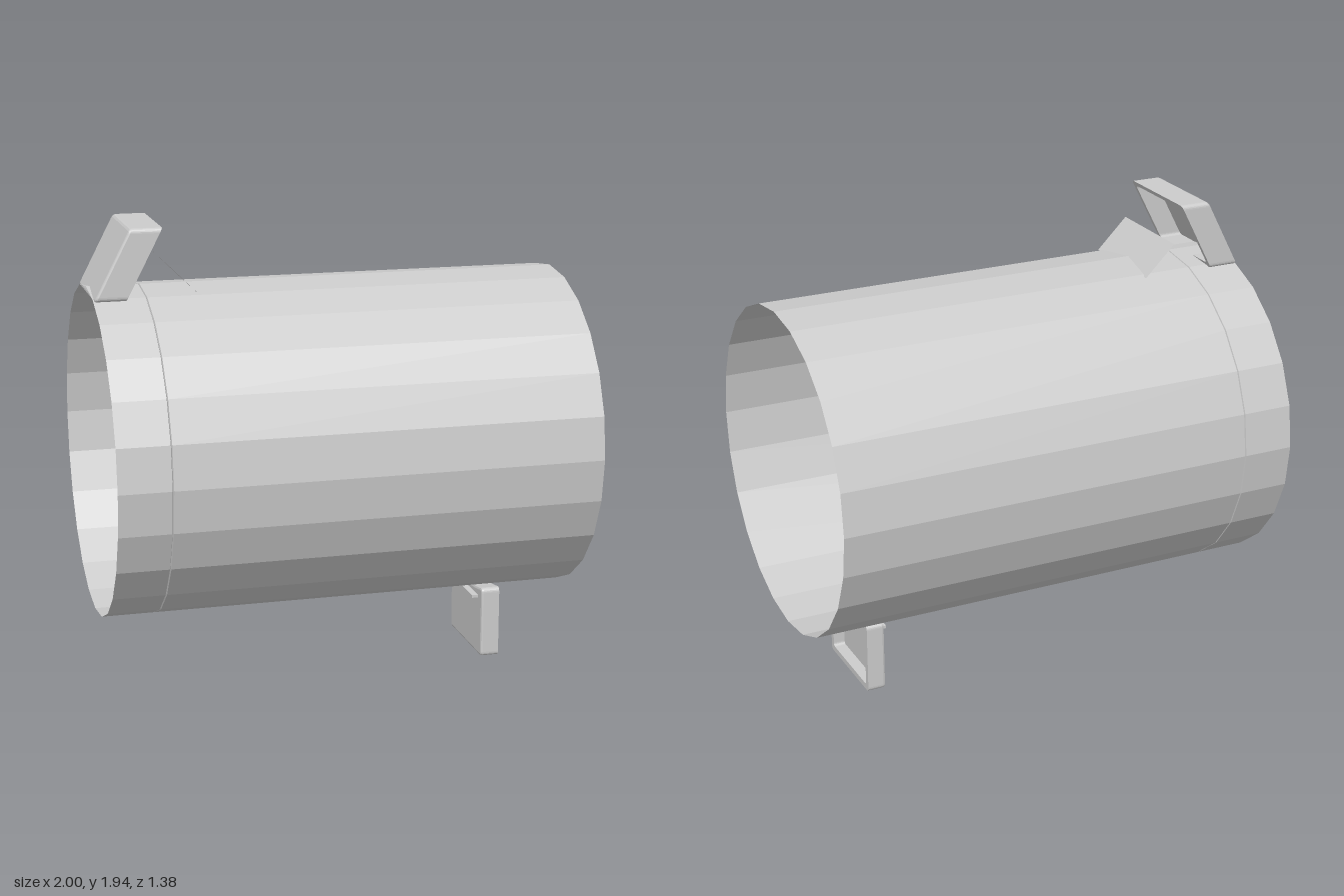
import * as THREE from 'three';

const AXIS_Y = 0.99, R = 0.69, SIDES = 24;

const flat = new THREE.MeshStandardMaterial({ color: 0xcccccc, flatShading: true, side: THREE.DoubleSide });
const smooth = new THREE.MeshStandardMaterial({ color: 0xcccccc, side: THREE.DoubleSide });

// Surface of revolution about the horizontal axis, from [x, radius] pairs
function revolve(name, profile, material) {
  const geo = new THREE.LatheGeometry(profile.map(([x, r]) => new THREE.Vector2(r, x)), SIDES);
  geo.rotateZ(-Math.PI / 2).translate(0, AXIS_Y, 0);
  const mesh = new THREE.Mesh(geo, material);
  mesh.name = name;
  return mesh;
}

// Rounded rectangle outline; sag dips the top edge to follow the tube
function outline(Type, halfW, y0, y1, r, sag = 0) {
  const s = new Type();
  s.moveTo(-halfW + r, y0);
  s.lineTo(halfW - r, y0);
  s.quadraticCurveTo(halfW, y0, halfW, y0 + r);
  s.lineTo(halfW, y1 - r);
  s.quadraticCurveTo(halfW, y1, halfW - r, y1);
  s.quadraticCurveTo(0, y1 - 2 * sag, -halfW + r, y1);
  s.quadraticCurveTo(-halfW, y1, -halfW, y1 - r);
  s.lineTo(-halfW, y0 + r);
  s.quadraticCurveTo(-halfW, y0, -halfW + r, y0);
  return s;
}

// Extrude an outline along x from x0 to x1, leaning by lean per unit above y0
function slab(name, shape, x0, x1, bevel, lean = 0, y0 = 0) {
  const geo = new THREE.ExtrudeGeometry(shape, {
    depth: x1 - x0 - 2 * bevel, bevelEnabled: bevel > 0, bevelSize: bevel,
    bevelThickness: bevel, bevelOffset: -bevel, bevelSegments: 2, curveSegments: 6,
  });
  geo.rotateY(Math.PI / 2).translate(x0 + bevel, 0, 0);
  const p = geo.attributes.position;
  for (let i = 0; i < p.count; i++) p.setX(i, p.getX(i) + lean * (p.getY(i) - y0));
  geo.computeVertexNormals();
  const mesh = new THREE.Mesh(geo, flat);
  mesh.name = name;
  return mesh;
}

// Shallow tray: closed back towards -x, rim open towards +x
function tray(name, { x0, x1, halfW, y0, y1, wall, sag = 0, lean = 0 }) {
  const group = new THREE.Group();
  group.name = name;
  const back = 0.03;
  const rim = outline(THREE.Shape, halfW, y0, y1, 0.02, sag);
  rim.holes.push(outline(THREE.Path, halfW - wall, y0 + wall, y1 - wall, 0.015, sag));
  group.add(
    slab(name + 'Back', outline(THREE.Shape, halfW, y0, y1, 0.02, sag), x0, x0 + back, 0.01, lean, y0),
    slab(name + 'Rim', rim, x0 + back - 0.011, x1, 0, lean, y0),
  );
  return group;
}

export function createModel() {
  const model = new THREE.Group();

  // Faceted outer tube with a fine seam near one end
  model.add(revolve('endCollar', [[-1, R], [-0.786, R], [-0.783, R - 0.008]], flat));
  model.add(revolve('tubeBody', [[-0.783, R - 0.008], [-0.78, R], [1, R]], flat));

  // Inner sleeve with a flat ring at each end
  model.add(revolve('innerSleeve', [[-0.78, 0.585], [0.5, 0.6]], smooth));
  model.add(revolve('sleeveBackRing', [[-0.78, R - 0.004], [-0.78, 0.585]], flat));
  model.add(revolve('sleeveFrontRing', [[0.5, 0.6], [0.5, R - 0.004]], flat));

  // Leaning catch on top
  model.add(tray('topCatch', {
    x0: -1, x1: -0.87, halfW: 0.215, y0: 1.65, y1: 1.94, wall: 0.02, lean: 0.52,
  }));

  // Sloping thin flap beside the catch
  const flapGeo = new THREE.PlaneGeometry(0.42, Math.hypot(0.13, 0.13));
  flapGeo.rotateY(Math.PI / 2).rotateZ(Math.PI / 4).translate(-0.625, 1.715, 0);
  const flap = new THREE.Mesh(flapGeo, flat);
  flap.name = 'catchFlap';
  model.add(flap);

  // Upright catch below, its top edge hollowed to the tube
  model.add(tray('bottomCatch', {
    x0: 0.65, x1: 0.73, halfW: 0.21, y0: 0, y1: 0.31, wall: 0.025, sag: 0.02,
  }));

  // Small ledge on the back of the lower catch
  const ledge = new THREE.Mesh(new THREE.BoxGeometry(0.035, 0.012, 0.32), flat);
  ledge.name = 'catchLedge';
  ledge.position.set(0.64, 0.262, 0);
  model.add(ledge);

  return model;
}
